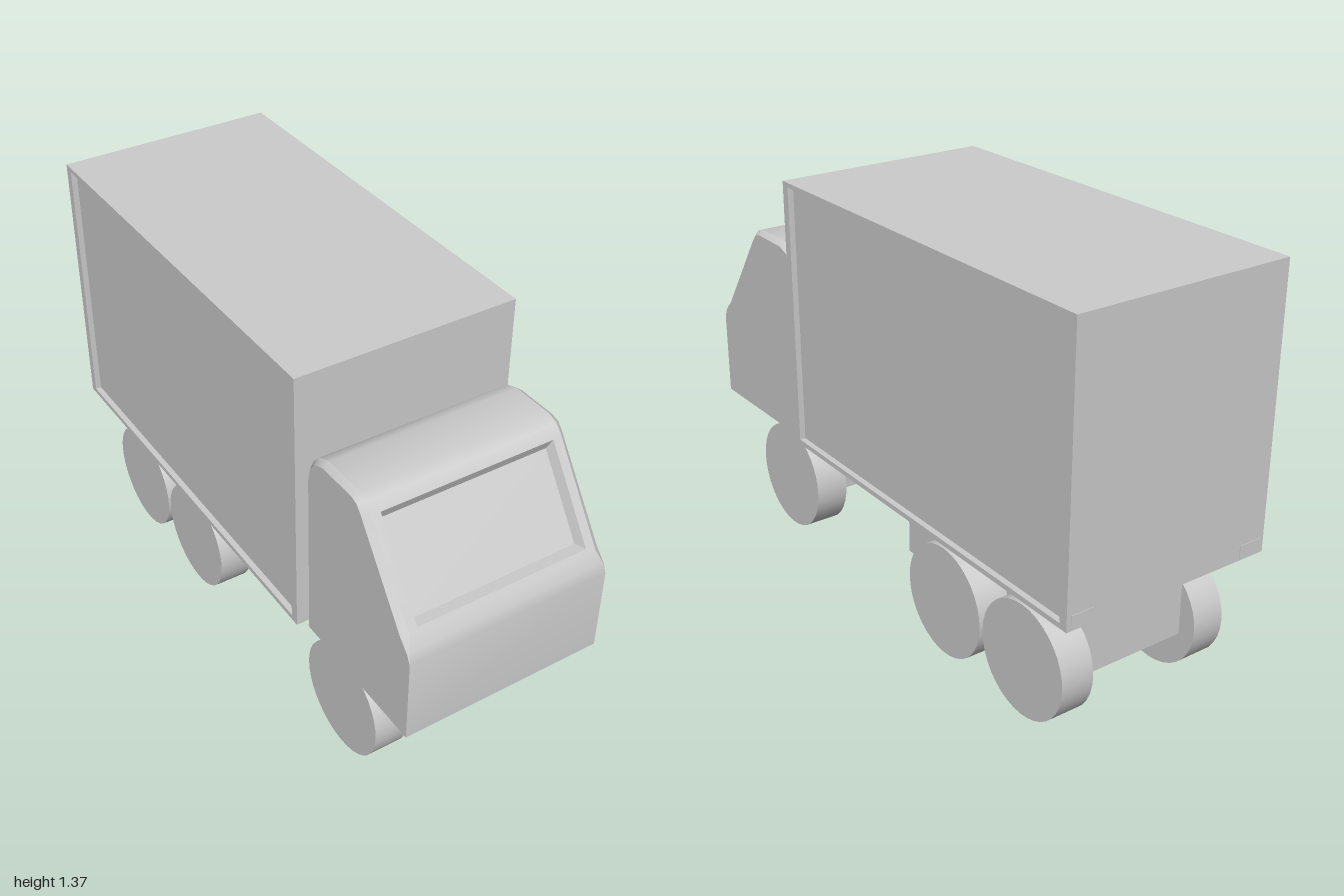
import * as THREE from 'three';
import { toCreasedNormals } from 'three/addons/utils/BufferGeometryUtils.js';

const material = new THREE.MeshStandardMaterial({ color: 0xcccccc });

function add(parent, name, geometry, x = 0, y = 0, z = 0) {
  const mesh = new THREE.Mesh(geometry, material);
  mesh.name = name;
  mesh.position.set(x, y, z);
  parent.add(mesh);
  return mesh;
}

// Box given by half width, height range and depth range
function block(parent, name, hw, y0, y1, z0, z1, x = 0) {
  return add(parent, name, new THREE.BoxGeometry(hw * 2, y1 - y0, z1 - z0), x, (y0 + y1) / 2, (z0 + z1) / 2);
}

// Box whose bottom and top rectangles differ: { hw, y, z0, z1 }
function taperedBlock(parent, name, bottom, top) {
  const geometry = new THREE.BoxGeometry(2, 2, 2).toNonIndexed();
  const p = geometry.attributes.position;
  for (let i = 0; i < p.count; i++) {
    const r = p.getY(i) > 0 ? top : bottom;
    p.setXYZ(i, p.getX(i) * r.hw, r.y, p.getZ(i) > 0 ? r.z1 : r.z0);
  }
  geometry.computeVertexNormals();
  return add(parent, name, geometry);
}

// Cab shell: side profile lofted across x, with bevelled sides and a sunken windscreen
function cabGeometry() {
  const W = 0.345;
  // Each row: centre z, y; side z, y; half width where the bevel starts
  const rows = [
    [1, 0.445, 1, 0.445, W], [1, 0.735, 1, 0.735, W],
    [0.99, 0.772, 0.986, 0.765, 0.338], [0.965, 0.81, 0.95, 0.803, 0.325],
    [0.765, 1.1, 0.747, 1.09, 0.325], [0.742, 1.123, 0.728, 1.112, 0.325],
    [0.71, 1.135, 0.7, 1.12, 0.325], [0.56, 1.135, 0.56, 1.118, 0.325],
    [0.515, 1.12, 0.52, 1.104, 0.325], [0.482, 1.085, 0.494, 1.075, 0.325],
    [0.47, 1.03, 0.482, 1.025, 0.325], [0.47, 0.445, 0.482, 0.445, 0.325],
  ];
  const windscreenRow = 3;
  const v = (x, y, z) => new THREE.Vector3(x, y, z);
  const mid = (r, s) => v(s * r[4], r[1], r[0]);
  const side = (r, s) => v(s * W, r[3], r[2]);
  const out = [];
  const tri = (a, b, c) => {
    const area = b.clone().sub(a).cross(c.clone().sub(a)).length();
    if (area > 1e-7) for (const q of [a, b, c]) out.push(q.x, q.y, q.z);
  };
  const quad = (a, b, c, d) => { tri(a, b, c); tri(a, c, d); };
  const ring = (A, B) => A.forEach((a, i) => {
    const j = (i + 1) % 4;
    quad(a, A[j], B[j], B[i]);
  });

  for (let i = 0; i < rows.length - 1; i++) {
    const r = rows[i], n = rows[i + 1];
    const face = [mid(r, -1), mid(r, 1), mid(n, 1), mid(n, -1)];
    if (i === windscreenRow) {
      const up = face[3].clone().sub(face[0]);
      const dir = up.clone().normalize();
      const normal = v(1, 0, 0).cross(dir);
      const corner = (x, t) => v(x, r[1], r[0]).addScaledVector(up, t);
      const opening = [corner(-0.295, 0.035), corner(0.295, 0.035), corner(0.295, 0.975), corner(-0.295, 0.975)];
      const glass = opening.map((c, k) => c.clone()
        .addScaledVector(normal, -0.03)
        .addScaledVector(dir, k < 2 ? 0.02 : -0.02)
        .setX(Math.sign(c.x) * 0.282));
      ring(face, opening);
      ring(opening, glass);
      quad(...glass);
    } else {
      quad(...face);
    }
    quad(mid(r, 1), side(r, 1), side(n, 1), mid(n, 1));
    quad(side(r, -1), mid(r, -1), mid(n, -1), side(n, -1));
    // Flat cab sides
    tri(side(rows[0], 1), side(n, 1), side(r, 1));
    tri(side(rows[0], -1), side(r, -1), side(n, -1));
  }
  const geometry = new THREE.BufferGeometry();
  geometry.setAttribute('position', new THREE.Float32BufferAttribute(out, 3));
  return toCreasedNormals(geometry, 0.55);
}

// Raised rim around a cargo side panel, lying in the zy plane
function rimGeometry() {
  const rect = (P, z0, y0, z1, y1) => new P([[z0, y0], [z1, y0], [z1, y1], [z0, y1]].map(([a, b]) => new THREE.Vector2(a, b)));
  const shape = rect(THREE.Shape, -0.46, 0.45, 1, 1.37);
  shape.holes.push(rect(THREE.Path, -0.43, 0.467, 0.97, 1.355));
  const geometry = new THREE.ExtrudeGeometry(shape, { depth: 0.02, bevelEnabled: false });
  return geometry.rotateY(Math.PI / 2);
}

export function createModel() {
  const truck = new THREE.Group();
  truck.name = 'boxTruck';

  // Cab with tapered underside
  const cab = new THREE.Group();
  cab.name = 'cab';
  truck.add(cab);
  add(cab, 'cabShell', cabGeometry());
  taperedBlock(cab, 'cabUnderside',
    { hw: 0.21, y: 0.405, z0: 0.54, z1: 0.81 }, { hw: 0.345, y: 0.445, z0: 0.47, z1: 1 });

  // Cargo box with sunken side panels
  const cargo = new THREE.Group();
  cargo.name = 'cargoBox';
  truck.add(cargo);
  block(cargo, 'cargoBody', 0.355, 0.45, 1.37, -1, 0.46);
  for (const s of [-1, 1]) {
    add(cargo, 'sideRim', rimGeometry(), s > 0 ? 0.355 : -0.375);
    block(cargo, 'tailLight', 0.04, 0.455, 0.5, -1.002, -0.99, s * 0.32);
  }

  // Chassis
  const chassis = new THREE.Group();
  chassis.name = 'chassis';
  truck.add(chassis);
  block(chassis, 'subframe', 0.3, 0.4, 0.45, -0.93, 0.4);
  taperedBlock(chassis, 'subframeUnderside',
    { hw: 0.195, y: 0.388, z0: -0.86, z1: 0.04 }, { hw: 0.3, y: 0.4, z0: -0.93, z1: 0.4 });
  block(chassis, 'rearAxleHousing', 0.195, 0.155, 0.39, -0.86, 0.035);
  block(chassis, 'frameBeam', 0.14, 0.27, 0.365, 0, 0.62);
  taperedBlock(chassis, 'frontAxleMount',
    { hw: 0.203, y: 0.33, z0: 0.55, z1: 0.785 }, { hw: 0.21, y: 0.407, z0: 0.54, z1: 0.81 });
  taperedBlock(chassis, 'frontAxleHousing',
    { hw: 0.197, y: 0.15, z0: 0.56, z1: 0.73 }, { hw: 0.203, y: 0.33, z0: 0.55, z1: 0.785 });

  // Wheels: one front pair and two rear pairs
  const wheel = new THREE.CylinderGeometry(0.19, 0.19, 0.115, 36).rotateZ(Math.PI / 2);
  for (const [name, y, z] of [['frontWheel', 0.235, 0.62], ['middleWheel', 0.19, -0.335], ['rearWheel', 0.19, -0.73]]) {
    for (const s of [-1, 1]) add(truck, name, wheel, s * 0.257, y, z);
  }
  return truck;
}
